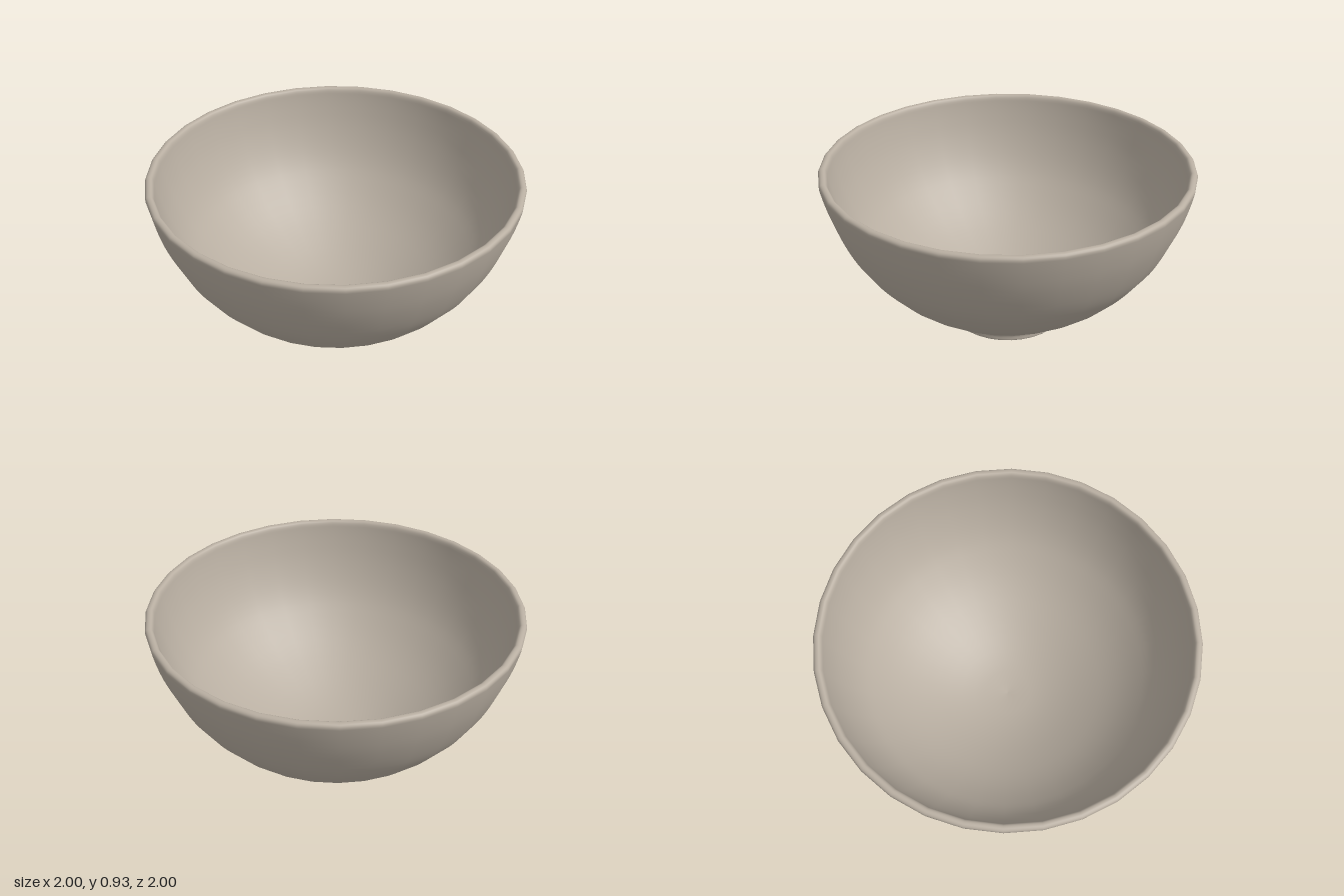
import * as THREE from 'three';

const SEGMENTS = 32;

// Smooth spline through [radius, height] pairs
function curve(pairs, divisions) {
  return new THREE.SplineCurve(pairs.map(([x, y]) => new THREE.Vector2(x, y))).getPoints(divisions);
}

// Each profile runs so that its outside lies on the right of the path
function turned(name, points, material) {
  const mesh = new THREE.Mesh(new THREE.LatheGeometry(points, SEGMENTS), material);
  mesh.name = name;
  return mesh;
}

export function createModel() {
  const clay = new THREE.MeshStandardMaterial({ color: 0xb8aea1 });
  clay.name = 'warm grey clay';

  // Foot: recessed underside, rounded ring, short wall
  const underside = curve([[0, 0.04], [0.14, 0.04], [0.28, 0.04]], 2);
  const ring = curve([[0.28, 0.04], [0.285, 0.012], [0.292, 0.002], [0.3, 0],
    [0.31, 0.004], [0.313, 0.012], [0.313, 0.03], [0.32, 0.045]], 14);

  // Body: outer wall, rounded rim and inner bowl as one continuous skin
  const outer = curve([[0.32, 0.045], [0.42, 0.11], [0.545, 0.195], [0.68, 0.3],
    [0.785, 0.415], [0.85, 0.505], [0.905, 0.61], [0.95, 0.72], [0.98, 0.82], [0.997, 0.895]], 24);
  const rim = curve([[0.997, 0.895], [0.998, 0.91], [0.99, 0.922], [0.975, 0.926],
    [0.962, 0.921], [0.954, 0.905], [0.95, 0.885]], 12);
  const inner = curve([[0.95, 0.885], [0.935, 0.82], [0.905, 0.72], [0.862, 0.615],
    [0.81, 0.52], [0.745, 0.435], [0.64, 0.33], [0.51, 0.235], [0.34, 0.145], [0.17, 0.09], [0, 0.073]], 26);
  inner[inner.length - 1].x = 0;

  const group = new THREE.Group();
  group.name = 'bowl';
  group.add(
    turned('footUnderside', underside, clay),
    turned('footRing', ring, clay),
    turned('bowlBody', [...outer, ...rim.slice(1), ...inner.slice(1)], clay)
  );
  return group;
}
